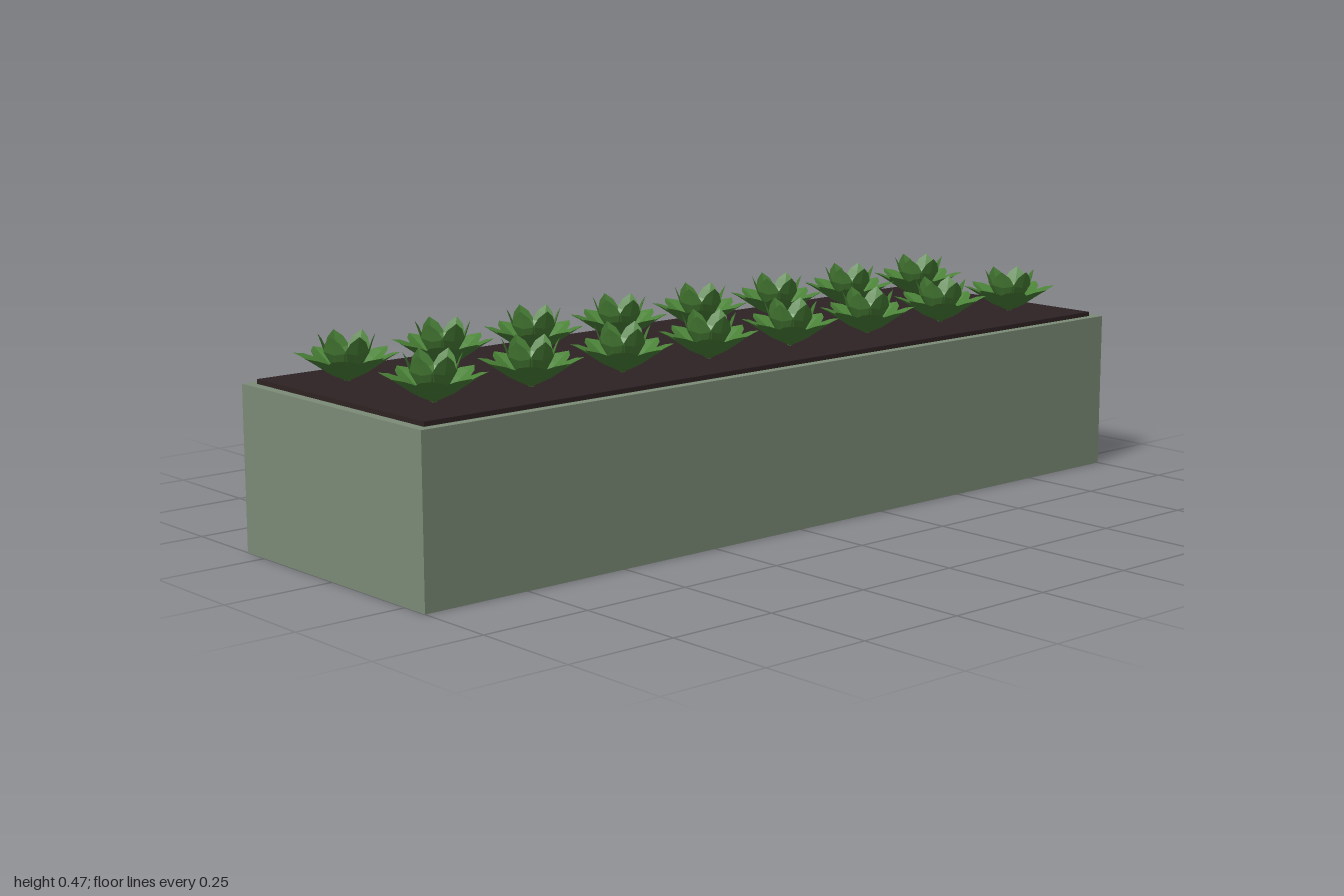
import * as THREE from 'three';

// Leaf from cross-sections [radius, height, halfWidth, edgeLift], with a folded midrib and pointed tip
function leafGeometry(sections) {
  const pos = [], index = [];
  for (const [r, y, w, lift] of sections) {
    pos.push(r - lift * 0.3, y + lift, -w, r, y, 0, r - lift * 0.3, y + lift, w);
  }
  for (let i = 0; i < sections.length - 1; i++) {
    for (let j = 0; j < 2; j++) {
      const a = i * 3 + j, b = a + 3;
      index.push(a, a + 1, b, a + 1, b + 1, b);
    }
  }
  const indexed = new THREE.BufferGeometry();
  indexed.setAttribute('position', new THREE.Float32BufferAttribute(pos, 3));
  indexed.setIndex(index);
  const geometry = indexed.toNonIndexed();
  geometry.computeVertexNormals();
  return geometry;
}

export function createModel() {
  const model = new THREE.Group();
  model.name = 'planter';

  const boxMaterial = new THREE.MeshStandardMaterial({ color: 0x7c8b78 });
  boxMaterial.name = 'sage green box';
  const soilMaterial = new THREE.MeshStandardMaterial({ color: 0x2e2223 });
  soilMaterial.name = 'dark soil';
  const leafMaterial = new THREE.MeshStandardMaterial({ color: 0x4a8237, side: THREE.DoubleSide });
  leafMaterial.name = 'leaf green';

  // Box and the soil bed standing just proud of it
  const addBlock = (name, w, h, d, y, material) => {
    const mesh = new THREE.Mesh(new THREE.BoxGeometry(w, h, d), material);
    mesh.name = name;
    mesh.position.y = y + h / 2;
    model.add(mesh);
  };
  addBlock('planterBox', 2, 0.36, 0.63, 0, boxMaterial);
  addBlock('soil', 1.955, 0.01, 0.586, 0.36, soilMaterial);

  // Two rings of leaves: a spreading outer one and an upright inner one
  const rings = [
    {
      name: 'outerLeaf', count: 8, turn: 0.1,
      geometry: leafGeometry([
        [0, 0, 0.004, 0], [0.04, 0.017, 0.021, 0.006], [0.072, 0.038, 0.031, 0.008],
        [0.092, 0.051, 0.021, 0.004], [0.109, 0.06, 0, 0],
      ]),
    },
    {
      name: 'innerLeaf', count: 6, turn: 0.4,
      geometry: leafGeometry([
        [0, 0.003, 0.004, 0], [0.027, 0.027, 0.019, 0.005], [0.046, 0.06, 0.028, 0.006],
        [0.053, 0.082, 0.018, 0.004], [0.059, 0.1, 0, 0],
      ]),
    },
  ];

  // Two rows of eight rosettes
  for (const z of [-0.15, 0.15]) {
    for (let i = 0; i < 8; i++) {
      const plant = new THREE.Group();
      plant.name = 'rosettePlant';
      plant.position.set(-0.85 + (i * 1.7) / 7, 0.37, z);
      for (const ring of rings) {
        for (let k = 0; k < ring.count; k++) {
          const leaf = new THREE.Mesh(ring.geometry, leafMaterial);
          leaf.name = ring.name;
          leaf.rotation.y = ring.turn + (k / ring.count) * Math.PI * 2;
          plant.add(leaf);
        }
      }
      model.add(plant);
    }
  }
  return model;
}
